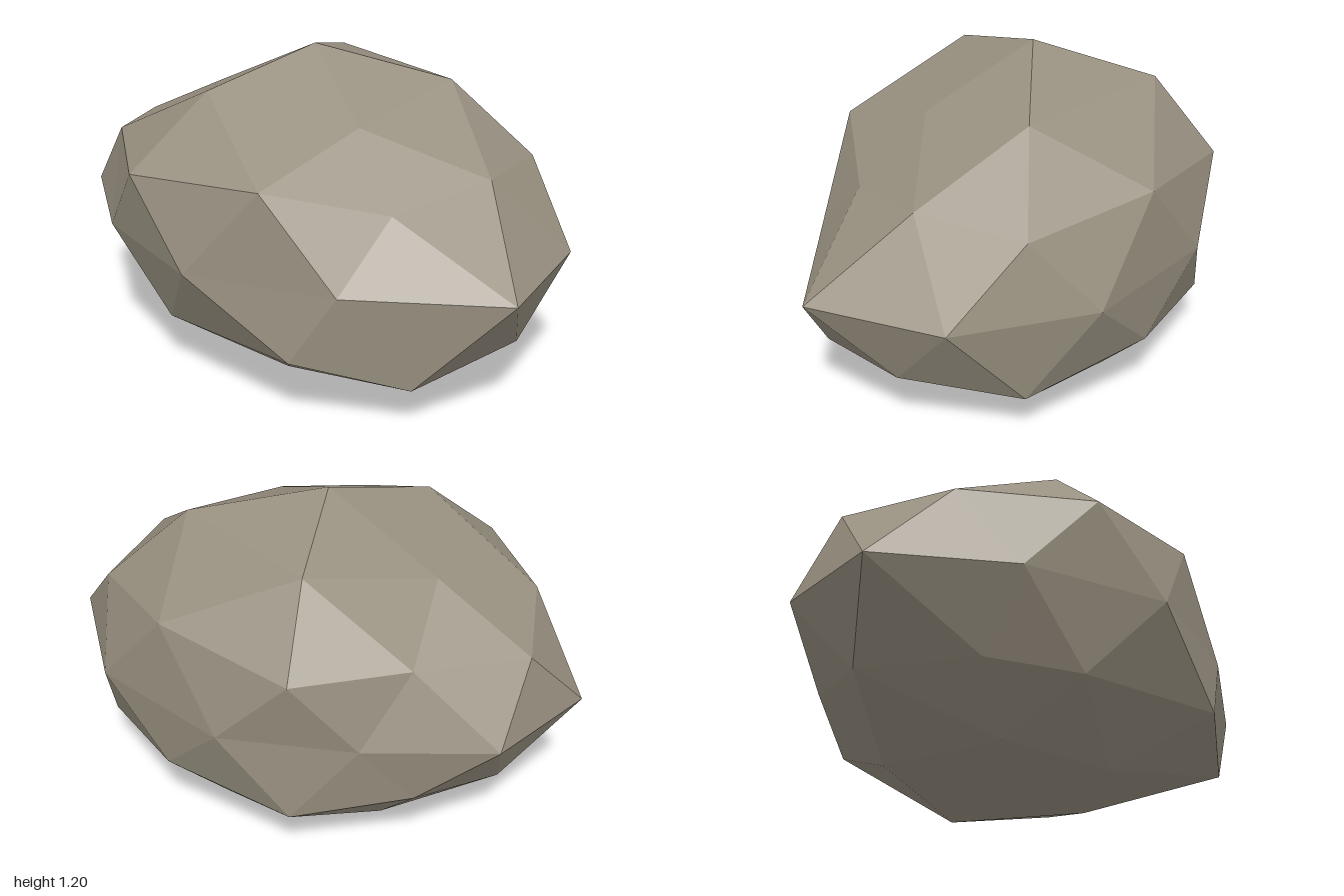
import * as THREE from 'three';

// Cross-section rings of the boulder, from crown to base; each runs anticlockwise seen from above.
const crown = [0.02, 1.2, -0.11];
const shoulder = [[-0.14, 1.0, 0.3], [0.345, 1.08, 0.29], [0.4, 1.08, -0.36], [-0.065, 0.975, -0.565], [-0.42, 1.08, -0.21]];
const upperCorner = [[-0.23, 0.765, 0.56], [0.547, 0.795, 0.53], [0.597, 0.79, -0.485], [-0.135, 0.785, -0.94], [-0.73, 0.815, -0.28]];
const upperMid = [[0.155, 0.83, 0.67], [0.703, 0.857, 0.045], [0.23, 0.795, -0.72], [-0.47, 0.83, -0.7], [-0.585, 0.86, 0.27]];
const waist = [[-0.47, 0.54], [-0.065, 1], [0.44, 0.82], [0.73, 0.35], [0.712, -0.24],
  [0.42, -0.655], [0.08, -1], [-0.385, -1], [-0.645, -0.54], [-0.735, 0.02]].map(([x, z]) => [x, 0.52, z]);
const lowerMid = [[-0.276, 0.165, 0.715], [0.55, 0.18, 0.54], [0.567, 0.21, -0.46], [-0.115, 0.24, -0.85], [-0.6, 0.223, -0.24]];
const lowerCorner = [[0.18, 0.237, 0.8], [0.697, 0.255, 0.045], [0.25, 0.29, -0.765], [-0.45, 0.25, -0.56], [-0.57, 0.255, 0.4]];
const foot = [[0.12, 0.05, 0.365], [0.46, 0.02, -0.02], [0.165, 0.05, -0.535], [-0.3, 0.05, -0.36], [-0.32, 0.043, 0.11]];
const base = [0.02, 0, -0.11];

export function createModel() {
  const group = new THREE.Group();
  group.name = 'boulder';
  const stone = new THREE.MeshStandardMaterial({ color: 0x989080 });
  stone.name = 'warm grey stone';
  stone.flatShading = true;

  const points = [];
  const face = (a, b, c) => points.push(...a, ...b, ...c);

  // Five matching sectors of facets join the rings
  for (let k = 0; k < 5; k++) {
    const n = (k + 1) % 5;
    const [e0, e1, e2] = [0, 1, 2].map((i) => waist[(2 * k + i) % 10]);
    const [r, rn, u, un, m] = [shoulder[k], shoulder[n], upperCorner[k], upperCorner[n], upperMid[k]];
    const [q, qn, l, d, dn] = [foot[k], foot[n], lowerCorner[k], lowerMid[k], lowerMid[n]];
    // Crown and shoulder
    face(crown, r, rn);
    face(r, u, m);
    face(r, m, rn);
    face(rn, m, un);
    // Upper side down to the waist
    face(u, e0, e1);
    face(u, e1, m);
    face(m, e1, e2);
    face(m, e2, un);
    // Lower side below the waist
    face(d, e1, e0);
    face(d, l, e1);
    face(l, e2, e1);
    face(l, dn, e2);
    // Foot and underside
    face(q, l, d);
    face(q, dn, l);
    face(q, qn, dn);
    face(base, qn, q);
  }

  const geometry = new THREE.BufferGeometry();
  geometry.setAttribute('position', new THREE.Float32BufferAttribute(points, 3));
  geometry.computeVertexNormals();
  const rock = new THREE.Mesh(geometry, stone);
  rock.name = 'rock';
  group.add(rock);
  return group;
}
